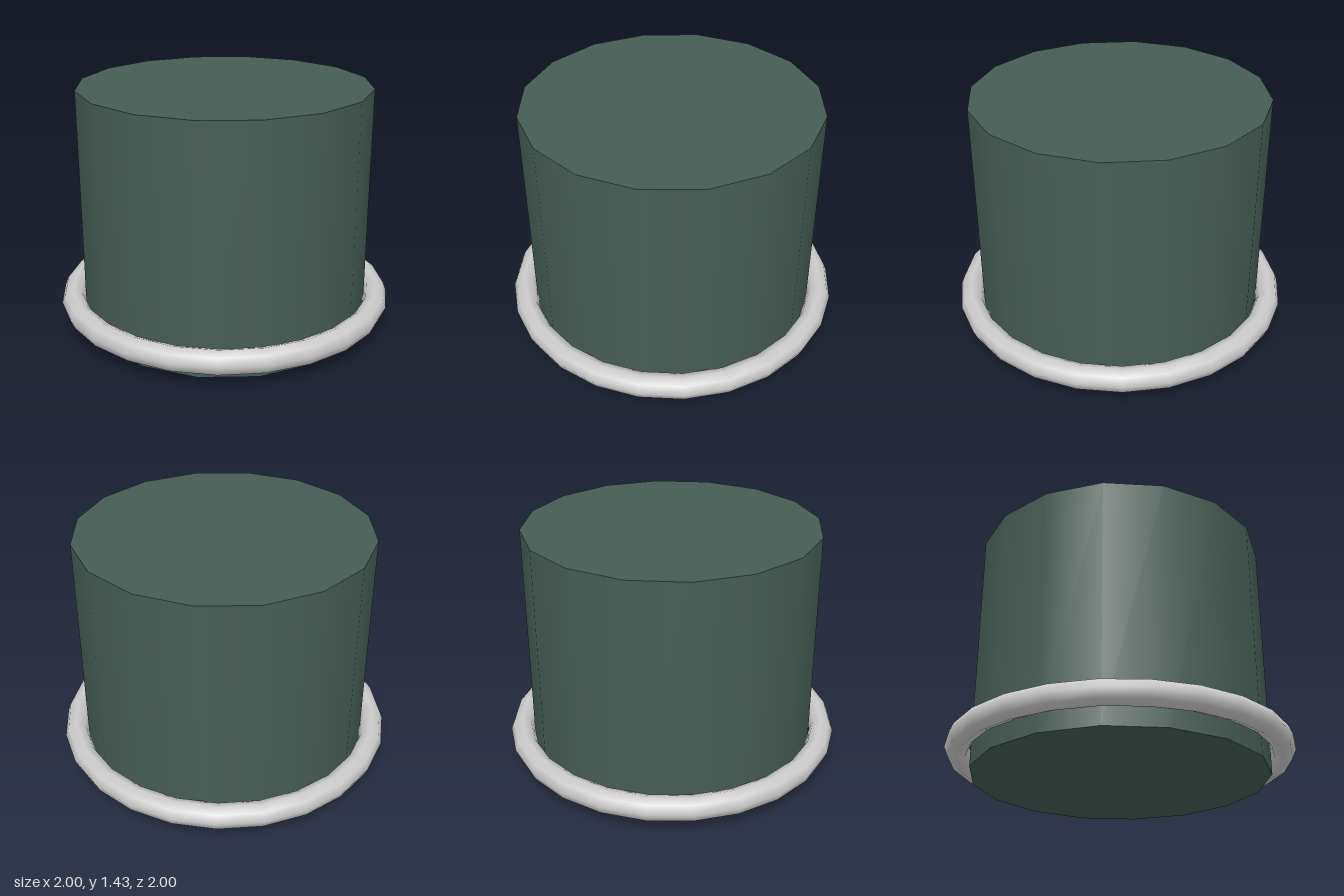
import * as THREE from 'three';

export function createModel() {
  const model = new THREE.Group();
  const ringRadius = 0.929, tube = 0.071, height = 1.43;

  // Solid sixteen-sided drum
  const body = new THREE.Mesh(
    new THREE.CylinderGeometry(0.857, 0.857, height, 16),
    new THREE.MeshStandardMaterial({ color: 0x465c54 })
  );
  body.name = 'body';
  body.position.y = height / 2;

  // Round ring lying flat around the foot of the drum
  const ring = new THREE.Mesh(
    new THREE.TorusGeometry(ringRadius, tube, 8, 24),
    new THREE.MeshStandardMaterial({ color: 0xcccccc })
  );
  ring.name = 'baseRing';
  ring.rotation.x = Math.PI / 2;
  ring.position.y = 0.143;

  model.add(body, ring);
  return model;
}
